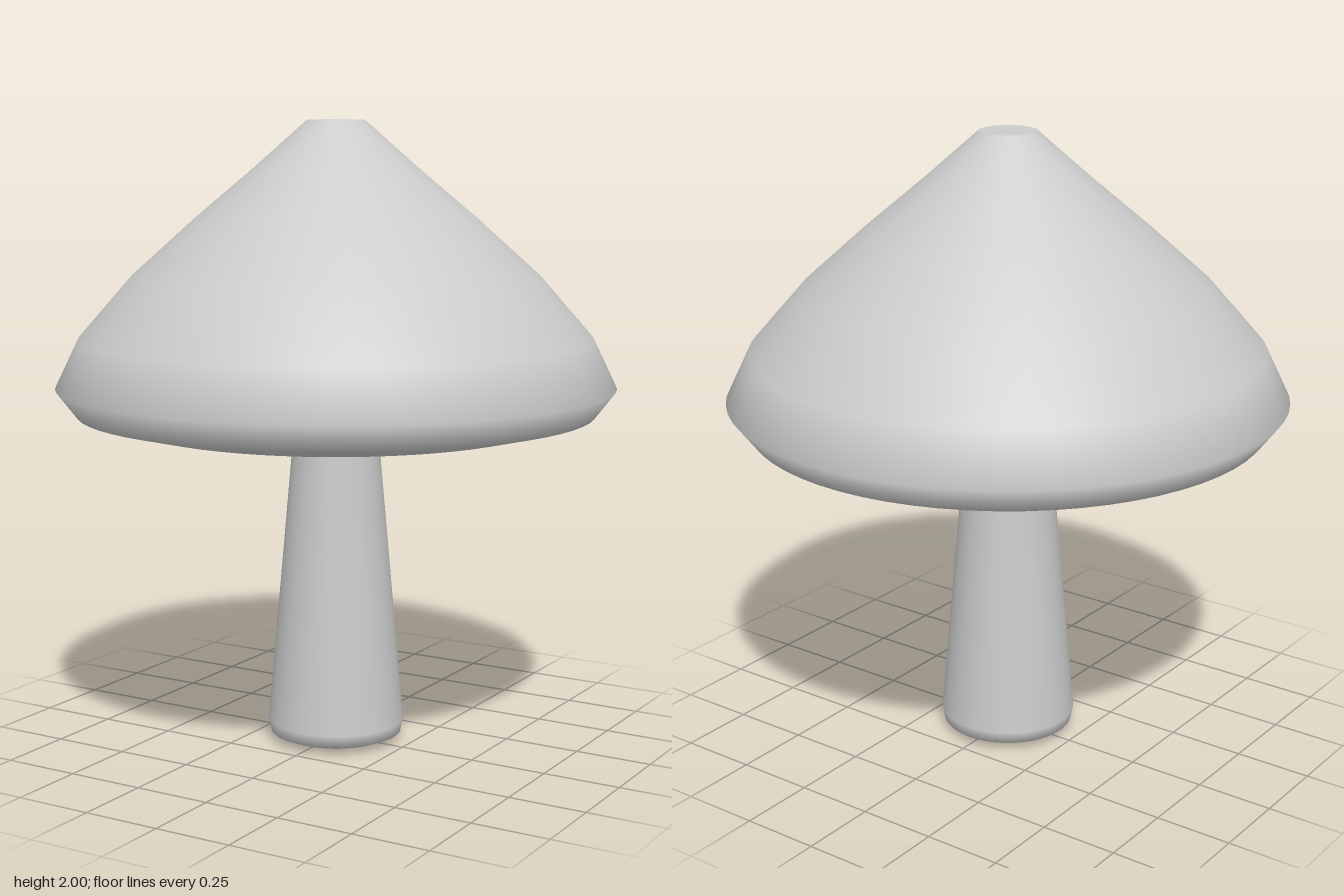
import * as THREE from 'three';

const SEGMENTS = 64;
const material = new THREE.MeshStandardMaterial({ color: 0xcccccc });

// Smooth turned part from [radius, height] pairs, listed from bottom to top
function turned(name, profile) {
  const points = profile.map(([r, y]) => new THREE.Vector2(r, y));
  const mesh = new THREE.Mesh(new THREE.LatheGeometry(points, SEGMENTS), material);
  mesh.name = name;
  return mesh;
}

export function createModel() {
  const group = new THREE.Group();
  group.name = 'mushroom';

  // Tapered stem with a rounded foot and a flare where it meets the cap
  group.add(turned('stem', [
    [0, 0], [0.12, 0.003], [0.175, 0.01], [0.212, 0.025], [0.22, 0.065],
    [0.14, 0.97], [0.15, 1.0], [0.18, 1.018], [0.25, 1.028], [0.3, 1.03],
  ]));

  // Cap: flat underside, rolled rim, and sides rising to a blunt tip
  group.add(turned('cap', [
    [0.3, 1.03], [0.66, 1.04], [0.825, 1.08], [0.89, 1.165], [0.815, 1.32],
    [0.645, 1.515], [0.45, 1.69], [0.26, 1.85], [0.09, 2],
  ]));

  // Flat disc closing the tip with a sharp edge
  const tip = new THREE.Mesh(new THREE.CircleGeometry(0.09, SEGMENTS), material);
  tip.name = 'capTip';
  tip.rotation.x = -Math.PI / 2;
  tip.position.y = 2;
  group.add(tip);

  return group;
}
